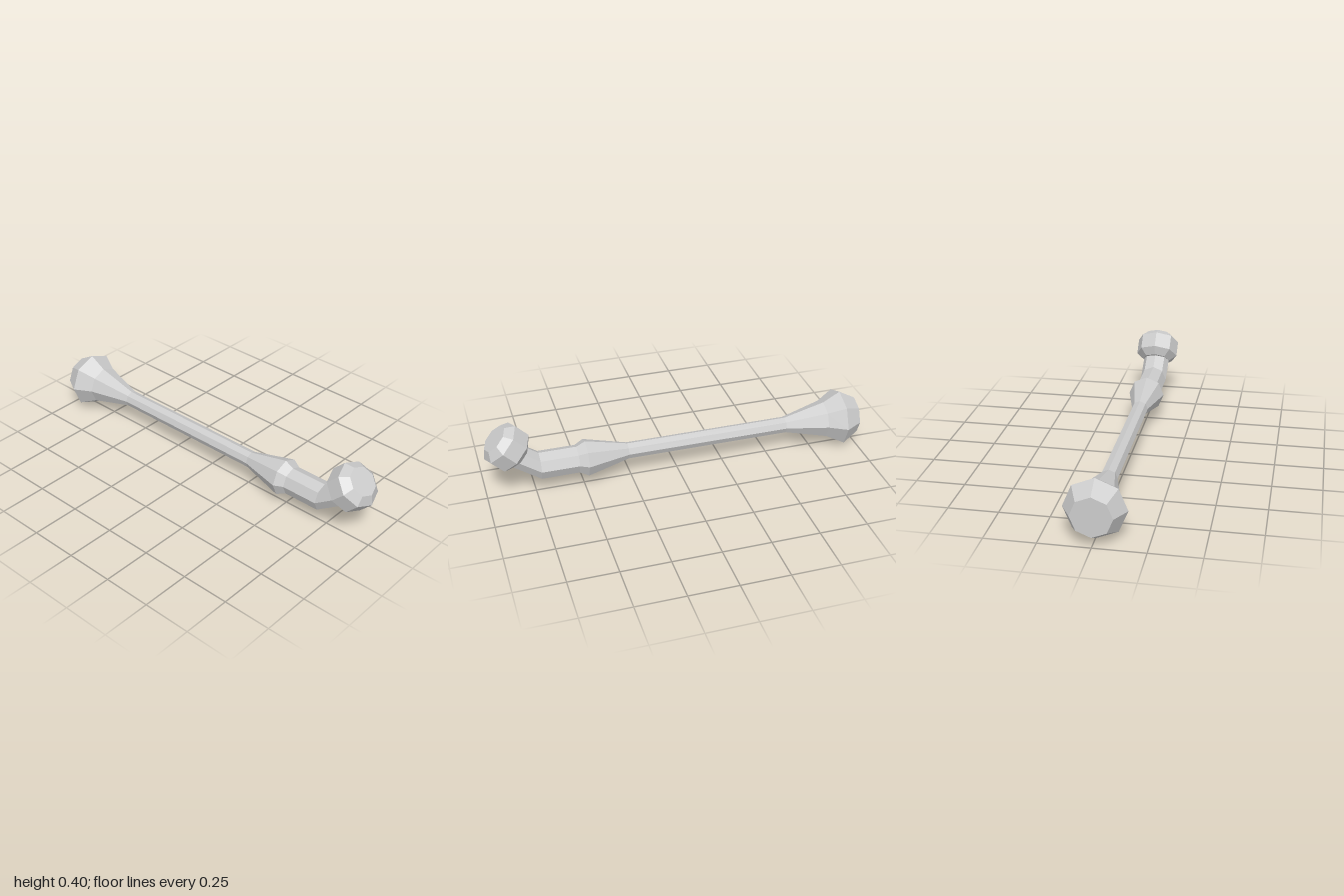
import * as THREE from 'three';

const SIDES = 8;

// Ring: centre x, y, radius in the x-y plane, tilt of the axis in degrees, radius along z
function ringPoints([x, y, r, tilt = 0, rz = r]) {
  const a = THREE.MathUtils.degToRad(tilt);
  return Array.from({ length: SIDES }, (_, j) => {
    const t = (j / SIDES) * Math.PI * 2;
    const h = r * Math.cos(t);
    return [x - Math.sin(a) * h, y + Math.cos(a) * h, rz * Math.sin(t)];
  });
}

// Skins consecutive rings, with optional flat caps at either end
function loft(name, rings, material, capStart = false, capEnd = false) {
  const rows = rings.map(ringPoints);
  const pos = [];
  const tri = (a, b, c) => pos.push(...a, ...b, ...c);
  for (let i = 0; i < rows.length - 1; i++) {
    for (let j = 0; j < SIDES; j++) {
      const k = (j + 1) % SIDES;
      tri(rows[i][j], rows[i][k], rows[i + 1][k]);
      tri(rows[i][j], rows[i + 1][k], rows[i + 1][j]);
    }
  }
  const first = rows[0], last = rows[rows.length - 1];
  for (let j = 1; j < SIDES - 1; j++) {
    if (capStart) tri(first[0], first[j + 1], first[j]);
    if (capEnd) tri(last[0], last[j], last[j + 1]);
  }
  const g = new THREE.BufferGeometry();
  g.setAttribute('position', new THREE.Float32BufferAttribute(pos, 3));
  g.computeVertexNormals(); // unshared corners give flat facets
  const mesh = new THREE.Mesh(g, material);
  mesh.name = name;
  return mesh;
}

export function createModel() {
  const group = new THREE.Group();
  group.name = 'knobbedRod';
  const grey = new THREE.MeshStandardMaterial({ color: 0xcccccc });
  grey.name = 'light grey';

  const Y = 0.151; // height of the rod's axis
  const shaftStart = [-0.6, Y, 0.043];
  const shaftEnd = [0.265, Y, 0.043];
  const collarEnd = [0.53, Y, 0.073];
  const neckEnd = [0.837, 0.23, 0.061, 46, 0.073];

  group.add(
    // Flared pommel
    loft('pommel', [[-1, Y, 0.1], [-0.91, Y, 0.151], [-0.82, Y, 0.1], shaftStart], grey, true),
    // Long thin rod
    loft('shaft', [shaftStart, shaftEnd], grey),
    // Swelling ahead of the bend
    loft('collar', [shaftEnd, [0.485, Y, 0.097], collarEnd], grey),
    // Bent neck
    loft('neck', [collarEnd, [0.724, Y, 0.073], neckEnd], grey),
    // Tilted bevelled knob
    loft('head', [
      neckEnd,
      [0.826, 0.233, 0.076, 46],
      [0.85, 0.258, 0.117, 46],
      [0.912, 0.32, 0.117, 46],
      [0.936, 0.347, 0.076, 46],
    ], grey, false, true),
  );
  return group;
}
